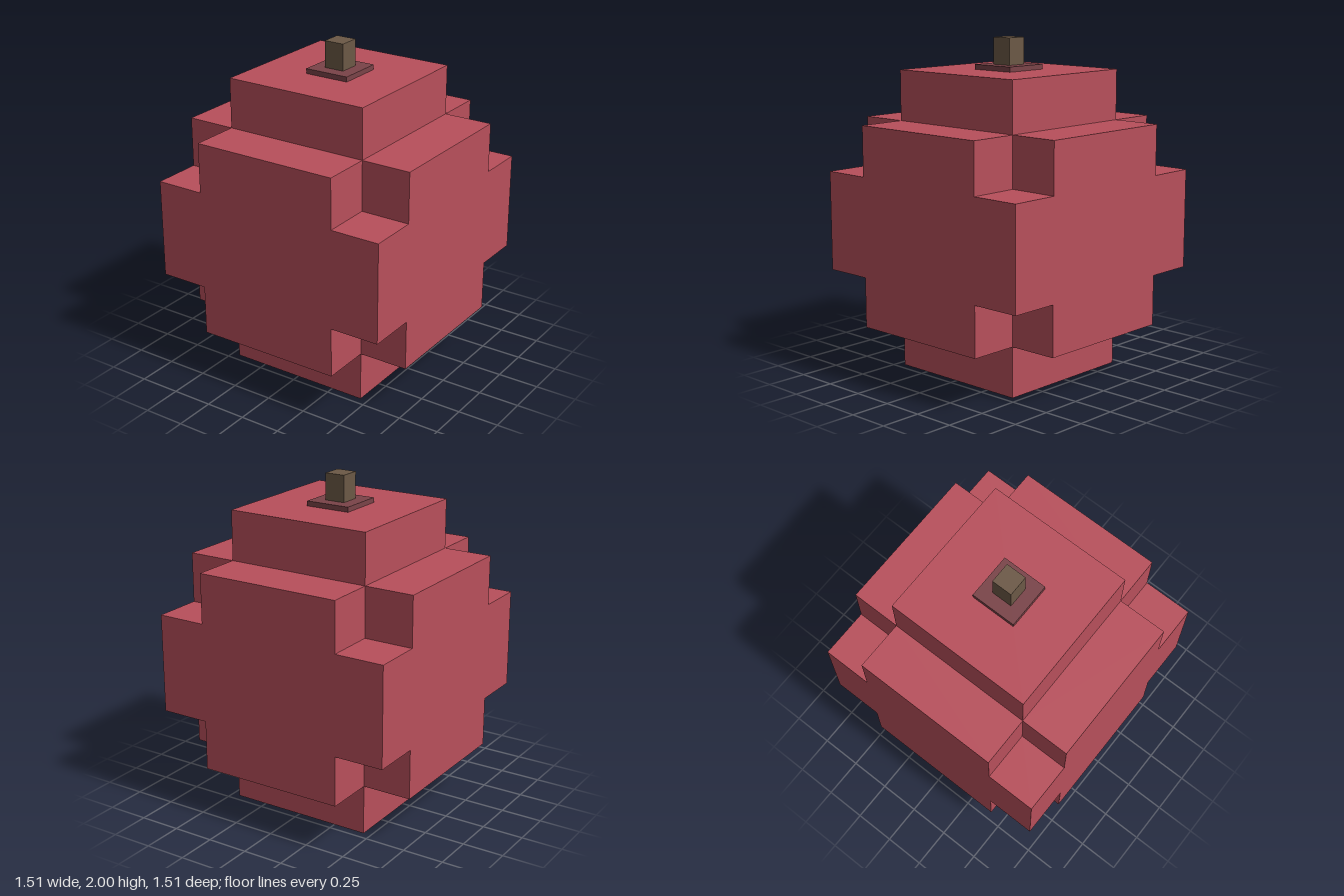
import * as THREE from 'three';

const INNER = 0.452; // half width of the narrow tiers
const OUTER = 0.754; // half width of the widest tier

function material(name, color) {
  const m = new THREE.MeshStandardMaterial({ color });
  m.name = name;
  return m;
}

// Plus-shaped outline, seen from above
function plusShape() {
  const a = INNER, b = OUTER;
  return new THREE.Shape([
    [a, -b], [a, -a], [b, -a], [b, a], [a, a], [a, b],
    [-a, b], [-a, a], [-b, a], [-b, -a], [-a, -a], [-a, -b],
  ].map(([x, y]) => new THREE.Vector2(x, y)));
}

export function createModel() {
  const group = new THREE.Group();
  group.name = 'blockFruit';
  const red = material('fruit red', 0xb84f5b);
  const maroon = material('cap maroon', 0x7a4348);
  const brown = material('stem brown', 0x6c5946);

  const add = (name, geometry, mat, y) => {
    const mesh = new THREE.Mesh(geometry, mat);
    mesh.name = name;
    mesh.position.y = y;
    group.add(mesh);
  };
  // Square block between two heights
  const block = (name, half, y0, y1, mat) =>
    add(name, new THREE.BoxGeometry(half * 2, y1 - y0, half * 2), mat, (y0 + y1) / 2);
  // Tier with notched corners between two heights
  const notched = (name, y0, y1) => {
    const g = new THREE.ExtrudeGeometry(plusShape(), { depth: y1 - y0, bevelEnabled: false });
    add(name, g.rotateX(-Math.PI / 2), red, y0);
  };

  // Body, stacked in tiers from the bottom up
  block('bodyBottom', INNER, 0, 0.302, red);
  notched('bodyLowerTier', 0.302, 0.604);
  block('bodyMiddle', OUTER, 0.604, 1.206, red);
  notched('bodyUpperTier', 1.206, 1.508);
  block('bodyTop', INNER, 1.508, 1.81, red);

  // Cap plate and stem
  block('stemCap', 0.14, 1.81, 1.84, maroon);
  block('stem', 0.063, 1.84, 2, brown);
  return group;
}
